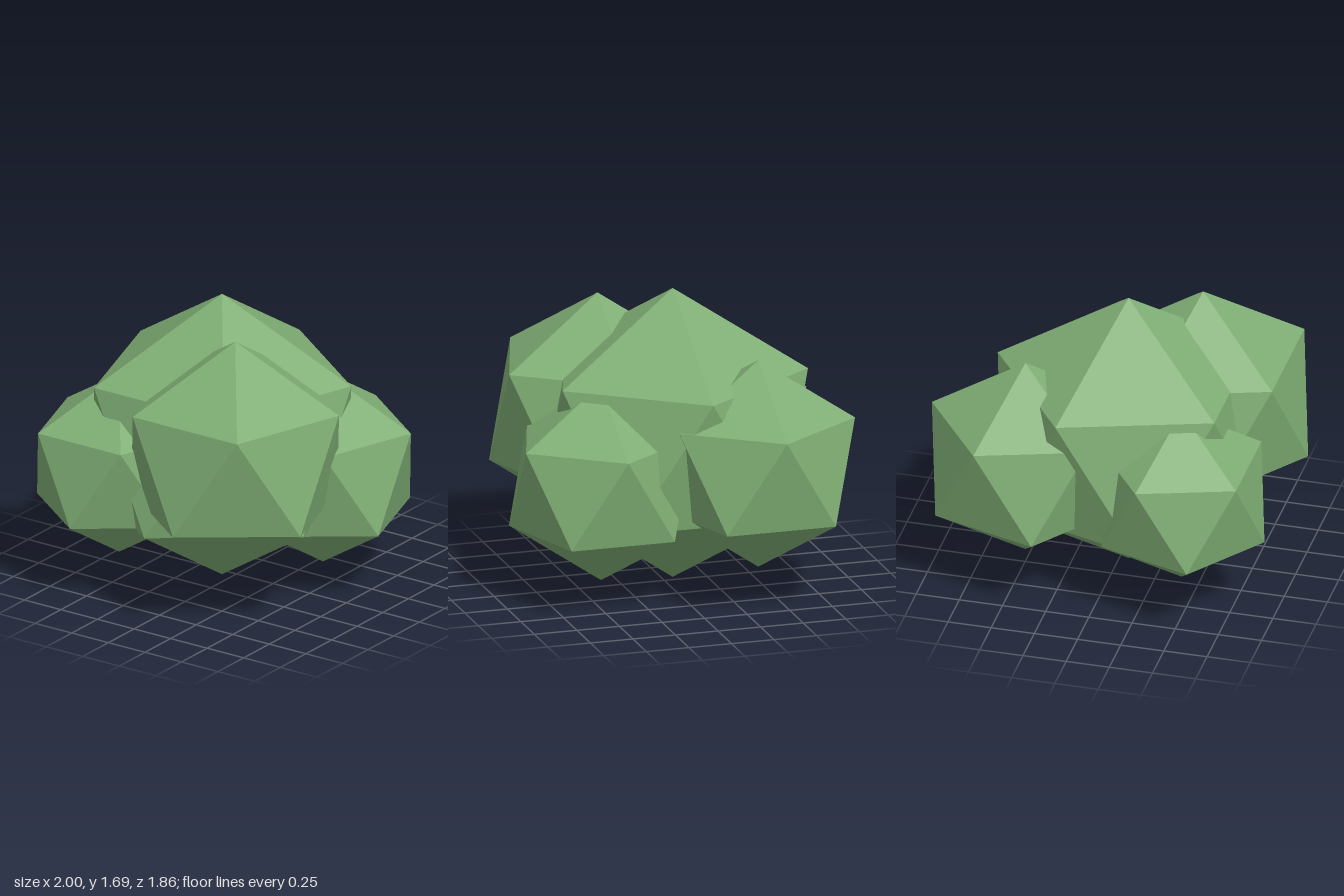
import * as THREE from 'three';

// Low-poly foliage: a cluster of overlapping icosahedra, each standing on a vertex
const CLUMPS = [
  // name, radius, centre
  ['mainClump', 0.847, [-0.05, 0.847, -0.065]],
  ['frontRightClump', 0.679, [-0.395, 0.918, 0.268]],
  ['frontLeftClump', 0.576, [0.215, 0.683, 0.44]],
  ['backLeftClump', 0.606, [0.457, 0.784, -0.407]],
  ['backRightClump', 0.537, [-0.465, 0.715, -0.477]],
];

export function createModel() {
  const group = new THREE.Group();
  group.name = 'bush';
  const leaf = new THREE.MeshStandardMaterial({ color: 0x7fae74, flatShading: true });

  for (const [name, radius, centre] of CLUMPS) {
    const geometry = new THREE.IcosahedronGeometry(radius, 0);
    // Turn one vertex straight up, then point an upper-ring vertex along +x
    geometry.rotateX(-Math.atan((1 + Math.sqrt(5)) / 2));
    geometry.rotateY(Math.PI / 2);
    const clump = new THREE.Mesh(geometry, leaf);
    clump.name = name;
    clump.position.set(...centre);
    group.add(clump);
  }
  return group;
}
